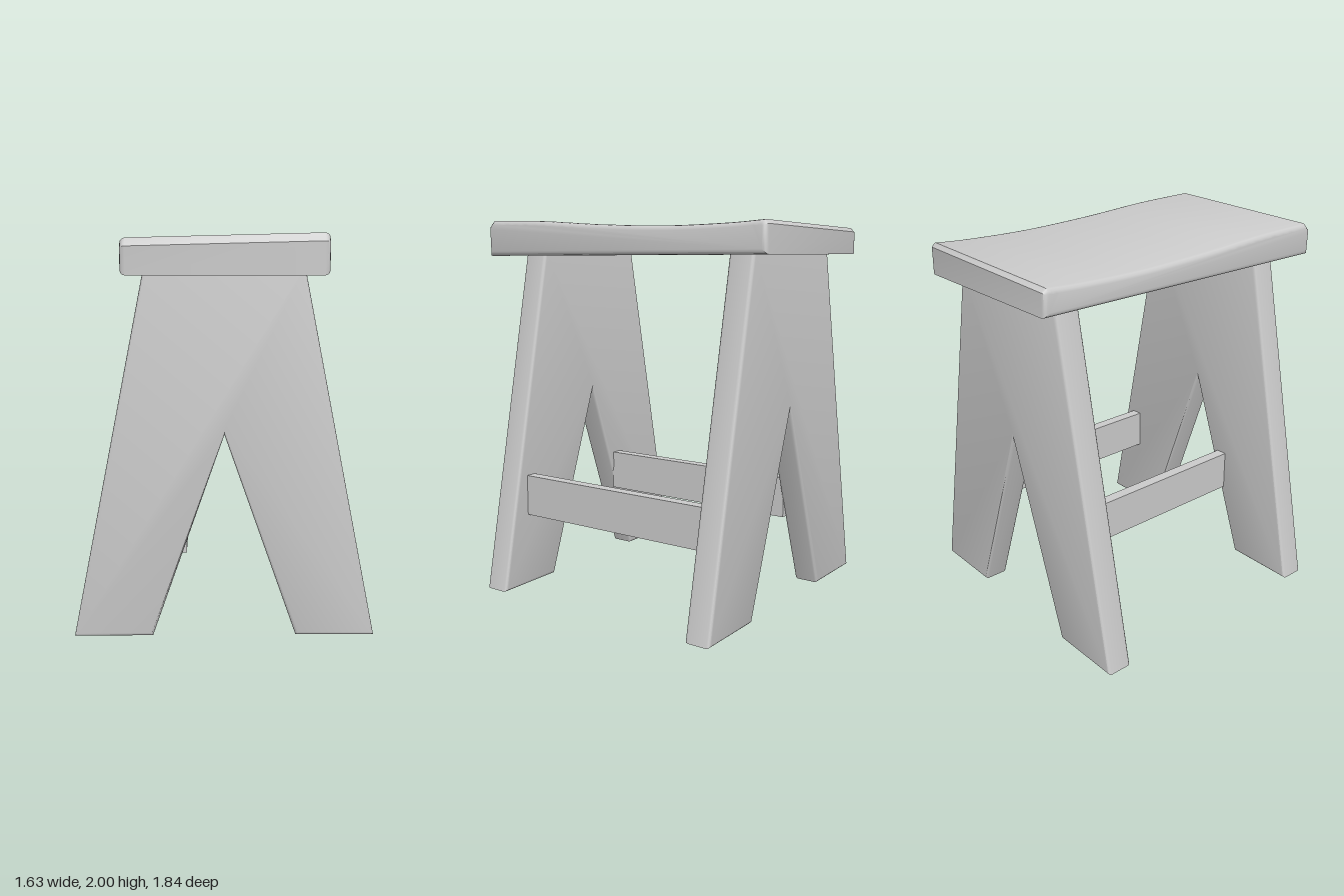
import * as THREE from 'three';
import { toCreasedNormals } from 'three/addons/utils/BufferGeometryUtils.js';

const material = new THREE.MeshStandardMaterial({ color: 0xcccccc });

// Extrude a shape to a given depth, centred on z, with softened edges kept inside the outline
function plank(name, shape, depth, bevel) {
  const geo = new THREE.ExtrudeGeometry(shape, {
    depth: depth - 2 * bevel, bevelEnabled: true, bevelThickness: bevel,
    bevelSize: bevel, bevelOffset: -bevel, bevelSegments: 3, curveSegments: 10,
  });
  geo.translate(0, 0, bevel - depth / 2);
  const mesh = new THREE.Mesh(geo, material);
  mesh.name = name;
  return mesh;
}

function polygon(points) {
  return new THREE.Shape(points.map(([x, y]) => new THREE.Vector2(x, y)));
}

export function createModel() {
  const stool = new THREE.Group();
  stool.name = 'stool';

  // Seat: side profile with a gentle dip, extruded across the width
  const profile = new THREE.Shape();
  profile.moveTo(-0.88, 1.815);
  profile.lineTo(0.88, 1.805);
  profile.lineTo(0.885, 1.96);
  profile.lineTo(0.85, 1.998);
  profile.splineThru([[0.5, 1.99], [0.1, 1.967], [-0.3, 1.955], [-0.65, 1.962], [-0.86, 1.975]]
    .map(([z, y]) => new THREE.Vector2(z, y)));
  profile.lineTo(-0.88, 1.955);
  const seat = plank('seat', profile, 0.96, 0.025);
  seat.geometry.rotateY(-Math.PI / 2);
  // The top falls slightly towards the right-hand edge
  const p = seat.geometry.attributes.position;
  for (let i = 0; i < p.count; i++) {
    if (p.getY(i) > 1.9) p.setY(i, p.getY(i) - 0.025 * (0.5 - p.getX(i)));
  }
  seat.geometry = toCreasedNormals(seat.geometry, 0.7);
  seat.position.x = -0.01;
  stool.add(seat);

  // Leg panels: tapered boards with a pointed notch making two feet
  const outline = [
    [-0.755, 0], [-0.36, 0], [0, 1.03], [0.36, 0], [0.755, 0], [0.385, 1.84], [-0.385, 1.84],
  ];
  for (const [name, z] of [['frontLegPanel', 0.615], ['backLegPanel', -0.695]]) {
    const panel = plank(name, polygon(outline), 0.14, 0.018);
    panel.geometry = toCreasedNormals(panel.geometry, 0.7);
    panel.position.set(-0.01, 0, z);
    stool.add(panel);
  }

  // Stretchers between the panels: one near the outer edge, one beside the notch
  for (const [name, x] of [['leftStretcher', 0.53], ['rightStretcher', -0.23]]) {
    const rail = new THREE.Mesh(new THREE.BoxGeometry(0.06, 0.22, 1.18), material);
    rail.name = name;
    rail.position.set(x, 0.505, -0.04);
    stool.add(rail);
  }

  // The whole stool stands slightly turned
  stool.rotation.y = -0.09;
  const model = new THREE.Group();
  model.name = 'stoolModel';
  model.add(stool);
  return model;
}
